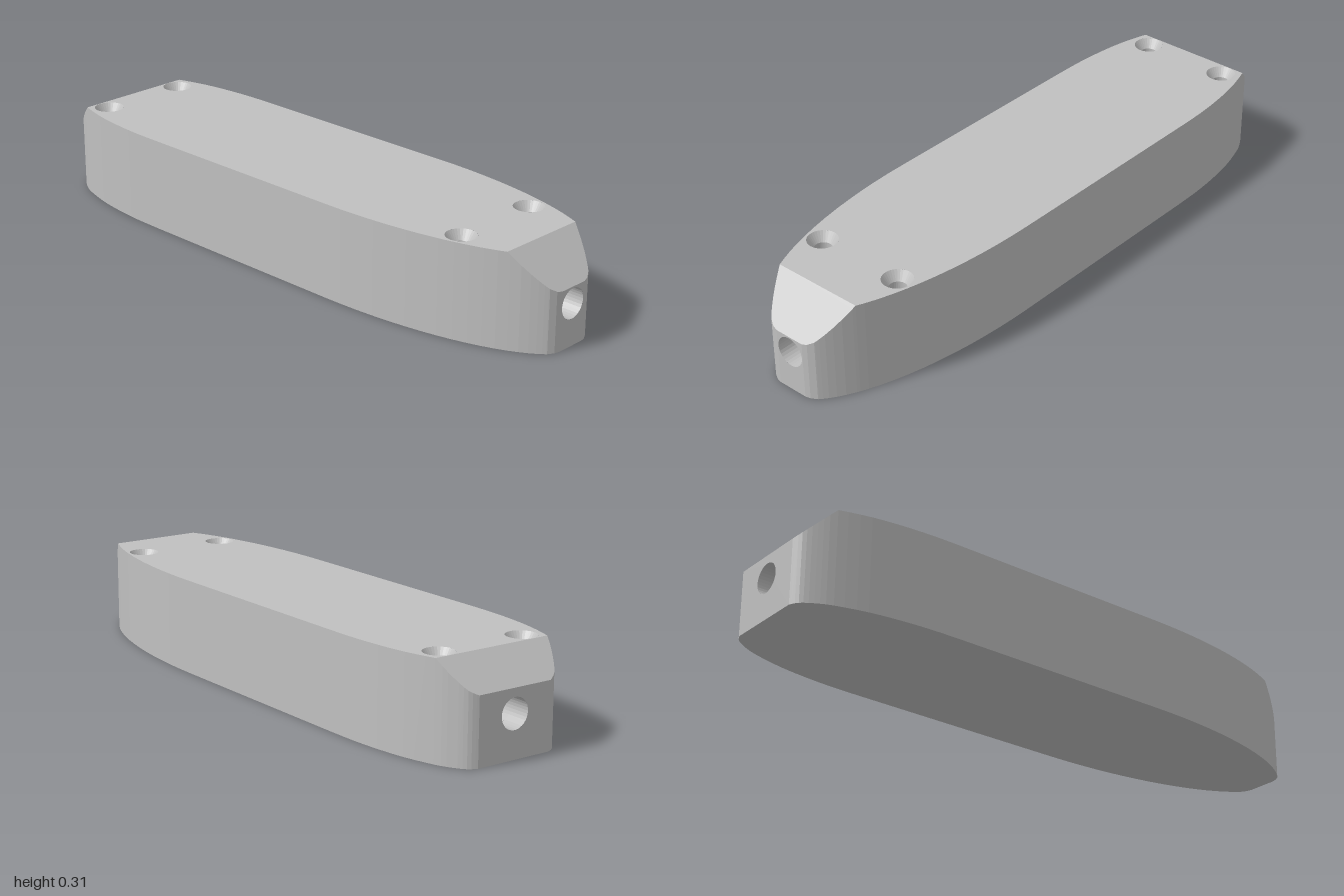
import * as THREE from 'three';

const H = 0.305, BACK = -0.9, FRONT = 0.88;   // height and where the end bevels start
const BORE = { y: 0.135, r: 0.048 };
const topY = (x) => Math.min(H, H - (BACK - x) * 0.95, H - (x - FRONT) * 0.975);

// Half outline seen from above, x rising, z positive
function halfOutline() {
  const blunt = new THREE.SplineCurve([
    [-1, 0.13], [-0.985, 0.157], [-0.95, 0.182], [BACK, 0.205], [-0.8, 0.232], [-0.7, 0.247], [-0.6, 0.255], [-0.5, 0.257],
  ].map(([x, z]) => new THREE.Vector2(x, z))).getPoints(21);
  const nose = [];
  const ellipse = (x) => 0.257 * Math.sqrt(1 - ((x - 0.27) / 0.76) ** 2);
  for (let i = 0; i <= 18; i++) {
    const x = 0.27 + 0.715 * Math.sin((i / 18) * Math.PI / 2);
    nose.push(new THREE.Vector2(x, ellipse(x)));
  }
  nose.push(new THREE.Vector2(FRONT, ellipse(FRONT)));
  nose.sort((a, b) => a.x - b.x);
  return [...blunt, ...nose, new THREE.Vector2(0.996, 0.068), new THREE.Vector2(1, 0.051)];
}

// Triangles from a list of four-cornered faces
function quadGeometry(quads) {
  const pos = [];
  for (const [a, b, c, d] of quads) pos.push(...a, ...b, ...c, ...a, ...c, ...d);
  const g = new THREE.BufferGeometry();
  g.setAttribute('position', new THREE.Float32BufferAttribute(pos, 3));
  g.computeVertexNormals();
  return g;
}

const circle = (x, y, r) => new THREE.Path().absarc(x, y, r, 0, Math.PI * 2, false);

export function createModel() {
  const group = new THREE.Group();
  const grey = new THREE.MeshStandardMaterial({ color: 0xc0c0c0 });
  const add = (name, geometry) => {
    const mesh = new THREE.Mesh(geometry, grey);
    mesh.name = name;
    group.add(mesh);
    return mesh;
  };
  const half = halfOutline();

  // Side walls, mirrored front to back
  const walls = [];
  for (let i = 0; i < half.length - 1; i++) {
    const p = half[i], q = half[i + 1];
    const face = (s) => [[p.x, 0, s * p.y], [q.x, 0, s * q.y], [q.x, topY(q.x), s * q.y], [p.x, topY(p.x), s * p.y]];
    walls.push(face(1), face(-1).reverse());
  }
  add('sideWalls', quadGeometry(walls));

  // Horizontal slices of the outline between two x positions
  const slice = (x0, x1, holes = []) => {
    const part = half.filter((p) => p.x > x0 - 1e-5 && p.x < x1 + 1e-5);
    const mirrored = part.map((p) => new THREE.Vector2(p.x, -p.y));
    const shape = new THREE.Shape([...mirrored, ...part.reverse()]);
    shape.holes.push(...holes);
    return new THREE.ShapeGeometry(shape, 32).rotateX(-Math.PI / 2);
  };
  const screws = [];
  for (const x of [-0.85, 0.71]) for (const z of [-0.152, 0.152]) screws.push([x, z]);
  add('topFace', slice(BACK, FRONT, screws.map(([x, z]) => circle(x, -z, 0.048))).translate(0, H, 0));
  add('bottomFace', slice(-1, 1).rotateX(Math.PI));

  // Sloping bevels at both ends
  for (const [name, x0, x1] of [['leftEndBevel', FRONT, 1], ['rightEndBevel', -1, BACK]]) {
    const g = slice(x0, x1);
    const p = g.attributes.position;
    for (let i = 0; i < p.count; i++) p.setY(i, topY(p.getX(i)));
    g.computeVertexNormals();
    add(name, g);
  }

  // Flat ends pierced by the long bore
  for (const [name, s, w] of [['leftEnd', 1, 0.051], ['rightEnd', -1, 0.13]]) {
    const t = topY(s);
    const shape = new THREE.Shape([[-w, 0], [w, 0], [w, t], [-w, t]].map(([x, y]) => new THREE.Vector2(x, y)));
    shape.holes.push(circle(0, BORE.y, BORE.r));
    add(name, new THREE.ShapeGeometry(shape, 32).rotateY(s * Math.PI / 2).translate(s, 0, 0));
  }

  // Long bore: round mouths, flattened above and below in the middle
  const rings = [[-1, 1], [-0.93, 1], [-0.93, 0], [0.93, 0], [0.93, 1], [1, 1]];
  const ringPoint = ([x, round], i) => {
    const a = (i / 32) * Math.PI * 2, y = BORE.r * Math.sin(a);
    return [x, BORE.y + (round ? y : THREE.MathUtils.clamp(y, -0.044, 0.044)), BORE.r * Math.cos(a)];
  };
  const boreFaces = [];
  for (let k = 0; k < rings.length - 1; k++) {
    for (let i = 0; i < 32; i++) {
      boreFaces.push([ringPoint(rings[k], i), ringPoint(rings[k], i + 1), ringPoint(rings[k + 1], i + 1), ringPoint(rings[k + 1], i)]);
    }
  }
  add('longBore', quadGeometry(boreFaces));

  // Countersunk screw holes
  const profile = [[0.048, H], [0.028, 0.275], [0.028, 0.2], [0, 0.2]].map(([x, y]) => new THREE.Vector2(x, y));
  for (const [x, z] of screws) {
    const g = new THREE.LatheGeometry(profile, 32).toNonIndexed();
    g.computeVertexNormals();
    add('screwHole', g).position.set(x, 0, z);
  }
  return group;
}
